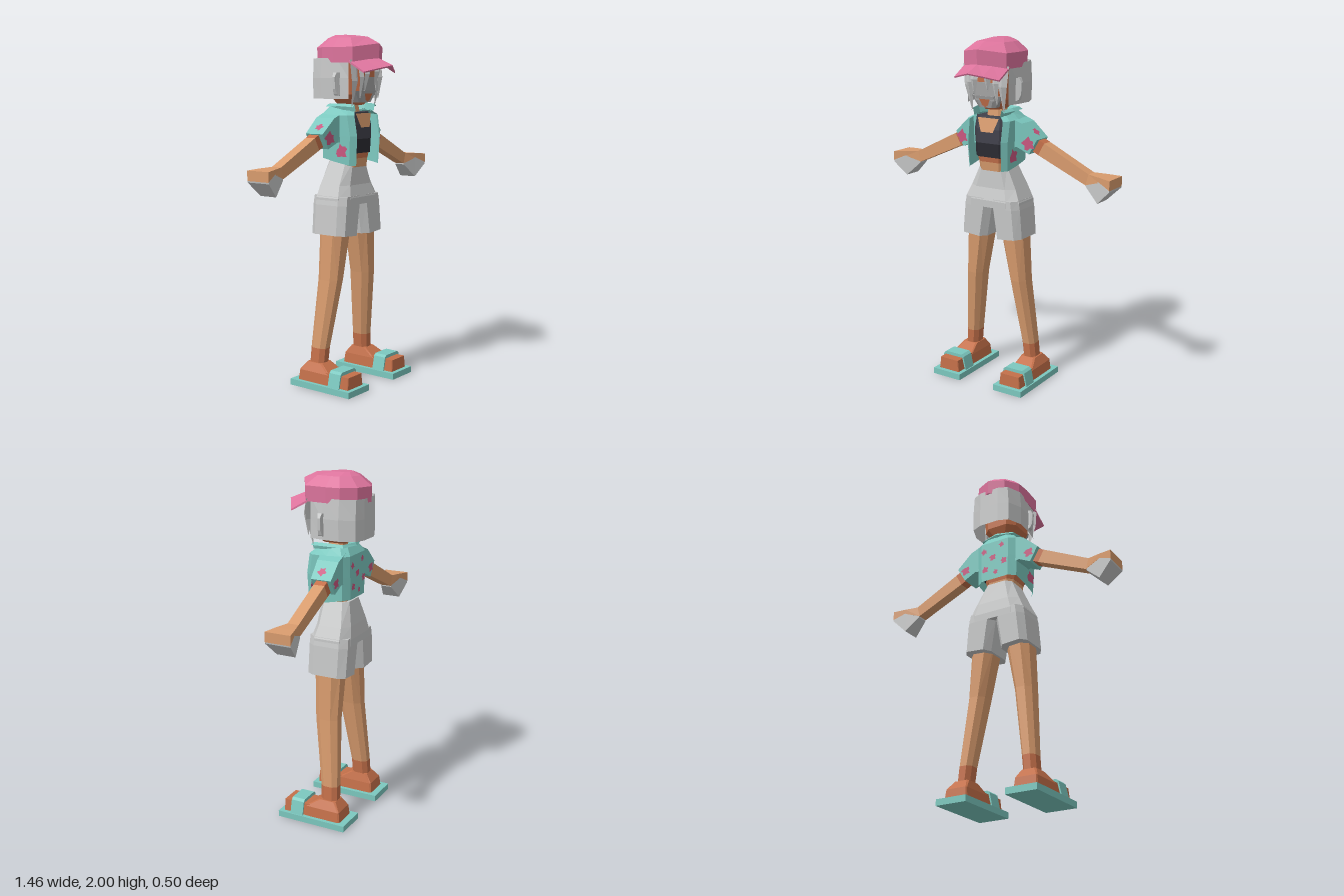
import * as THREE from 'three';

const paint = (name, color) => new THREE.MeshStandardMaterial({ name, color, side: THREE.DoubleSide });

// Flat-shaded skin over rings of points; closed rings are capped and turned outward
function loft(rings, closed = true) {
  const n = rings[0].length, tris = [];
  for (let r = 0; r < rings.length - 1; r++) {
    const a = rings[r], b = rings[r + 1];
    for (let i = 0; i < (closed ? n : n - 1); i++) {
      const j = (i + 1) % n;
      tris.push([a[i], a[j], b[j]], [a[i], b[j], b[i]]);
    }
  }
  if (closed) {
    const e = rings[rings.length - 1], f = rings[0];
    for (let i = 1; i < n - 1; i++) tris.push([f[0], f[i + 1], f[i]], [e[0], e[i], e[i + 1]]);
    const v = (p) => new THREE.Vector3(...p), o = v(f[0]);
    let vol = 0;
    for (const [a, b, c] of tris) vol += v(a).sub(o).dot(v(b).sub(o).cross(v(c).sub(o)));
    if (vol < 0) tris.forEach((t) => t.reverse());
  }
  const g = new THREE.BufferGeometry();
  g.setAttribute('position', new THREE.Float32BufferAttribute(tris.flat(2), 3));
  g.computeVertexNormals();
  return g;
}

// Chamfered rectangle ring at height y
function oct(y, cx, hx, cz, hz, k = 0.35) {
  const a = 1 - k;
  return [[1, a], [a, 1], [-a, 1], [-1, a], [-1, -a], [-a, -1], [a, -1], [1, -a]]
    .map(([x, z]) => [cx + x * hx, y, cz + z * hz]);
}

// Four-point ring across a limb, from a top and a bottom point in the front plane
const slab = (t, b, z0, z1) => [[...t, z0], [...t, z1], [...b, z1], [...b, z0]];

// Extends a half outline to the other side, skipping the centre point
const mirrorHalf = (half) => [...half, ...half.slice(0, -1).reverse().map(([x, y, z]) => [-x, y, z])];

export function createModel() {
  const root = new THREE.Group();
  root.name = 'figure';
  const pink = paint('cap pink', 0xdd749d), teal = paint('teal cloth', 0x7cc8bf);
  const skin = paint('skin', 0xd89b6d), rust = paint('shaded skin', 0xc4704a);
  const grey = paint('light grey', 0xc6c7c7), faceGrey = paint('face grey', 0xa3a3a3);
  const dark = paint('top charcoal', 0x41414b), black = paint('top black', 0x2b2b32);
  const flower = paint('flower pink', 0xc9577f);
  const add = (name, geo, mat) => {
    const m = new THREE.Mesh(geo, mat);
    m.name = name;
    root.add(m);
    return m;
  };

  // Torso, layered from waist to neck
  const body = (y, hx, hz) => oct(y, 0, hx, -0.05, hz);
  add('waist', loft([body(1.26, 0.085, 0.08), body(1.31, 0.09, 0.085)]), skin);
  add('midriff', loft([body(1.31, 0.092, 0.085), body(1.345, 0.1, 0.09)]), rust);
  add('topHem', loft([body(1.34, 0.106, 0.096), body(1.42, 0.108, 0.1)]), black);
  add('top', loft([body(1.42, 0.11, 0.102), body(1.5, 0.112, 0.1), body(1.57, 0.105, 0.085)]), dark);
  const chest = new THREE.Shape([[-0.07, 1.565], [-0.04, 1.485], [0.04, 1.485], [0.07, 1.565]].map((p) => new THREE.Vector2(...p)));
  const bare = add('neckline', new THREE.ShapeGeometry(chest), skin);
  bare.rotation.x = -0.2;
  bare.position.set(0, 0.03, 0.36);
  add('neck', loft([oct(1.55, 0, 0.055, -0.05, 0.05), oct(1.64, 0, 0.038, -0.05, 0.04)]), skin);

  // Shorts
  add('shortsHips', loft([oct(1.29, 0, 0.088, -0.065, 0.085), oct(1.16, 0, 0.148, -0.075, 0.105),
    oct(1.09, 0, 0.18, -0.07, 0.12), oct(1.05, 0, 0.182, -0.07, 0.12)]), grey);

  // Head
  add('head', loft([oct(1.61, 0, 0.045, -0.04, 0.07), oct(1.67, 0, 0.105, -0.035, 0.11, 0.4),
    oct(1.87, 0, 0.12, -0.035, 0.115, 0.4)]), rust);
  const plate = add('face', new THREE.BoxGeometry(0.13, 0.1, 0.006), faceGrey);
  plate.position.set(0, 1.715, 0.08);
  const jaw = add('lowerFace', loft([oct(1.625, 0, 0.055, 0.035, 0.035), oct(1.69, 0, 0.1, 0.035, 0.05, 0.4)]), faceGrey);
  jaw.position.z = 0.002;
  const lips = add('mouth', new THREE.ShapeGeometry(new THREE.Shape([[-0.035, 0.022], [-0.02, -0.012], [0, -0.024], [0.02, -0.012], [0.035, 0.022]]
    .map((p) => new THREE.Vector2(...p)))), rust);
  lips.position.set(0, 1.652, 0.083);
  lips.rotation.x = 0.2;

  // Hair: curved back panel and hanging locks
  const hairRing = (y, k) => mirrorHalf([[0.135, y, 0.05], [0.15 * k, y, -0.03], [0.155 * k, y, -0.13],
    [0.12 * k, y, -0.215], [0.06, y, -0.238], [0, y, -0.238]]);
  add('backHair', loft([hairRing(1.87, 0.96), hairRing(1.76, 1.02), hairRing(1.645, 1)], false), grey);
  const lock = (x0, x1, top, z, tipX, tipY, tipZ) => {
    const ring = (a, b, y, c, d) => [[a, y, c], [(a + b) / 2, y, c + d], [b, y, c], [(a + b) / 2, y, c - d]];
    const mx = (x0 + x1) / 2 * 0.5 + tipX * 0.5, w = (x1 - x0) * 0.42, my = top * 0.55 + tipY * 0.45;
    add('hairLock', loft([ring(x0, x1, top, z, 0.014), ring(mx - w, mx + w, my, (z + tipZ) / 2 + 0.015, 0.014),
      ring(tipX - 0.003, tipX + 0.003, tipY, tipZ, 0.003)]), grey);
  };
  lock(-0.07, -0.015, 1.86, 0.1, -0.055, 1.69, 0.1);
  lock(0.015, 0.075, 1.86, 0.1, 0.035, 1.72, 0.105);

  // Cap: faceted crown and pointed visor
  const crown = (y, front, k, cz) => {
    const half = [[0, 0.16], [0.14, 0.08], [0.15, -0.05], [0.145, -0.13], [0.09, -0.21], [0, -0.25]];
    const all = [...half, ...half.slice(1, -1).reverse().map(([x, z]) => [-x, z])];
    return all.map(([x, z], i) => [x * k, i === 0 ? front : y, cz + (z - cz) * k]);
  };
  add('capCrown', loft([crown(1.845, 1.86, 0.99, -0.05), crown(1.93, 1.95, 1, -0.05),
    crown(1.982, 1.988, 0.64, -0.06), crown(2, 2, 0.28, -0.1)]), pink);
  const visor = (x, yi, zi, yo, zo) => [[x, yi, zi], [x, yo, zo], [x, yo - 0.008, zo - 0.004], [x, yi - 0.012, zi]];
  add('capVisor', loft([visor(-0.147, 1.855, 0.06, 1.795, 0.165), visor(-0.07, 1.865, 0.11, 1.814, 0.208),
    visor(0, 1.872, 0.15, 1.83, 0.25), visor(0.07, 1.865, 0.11, 1.814, 0.208), visor(0.147, 1.855, 0.06, 1.795, 0.165)]), pink);

  // Open jacket and collar
  const coat = (y, yf, k, zf) => mirrorHalf([[0.108 * k, yf, zf], [0.135 * k, yf, zf - 0.03],
    [0.138 * k, (y + yf) / 2, -0.05], [0.133 * k, y, -0.14], [0.09 * k, y, -0.17], [0, y, -0.17]]).reverse();
  const shoulder = coat(1.6, 1.58, 0.72, 0.045).map(([x, y, z]) => [x, y, z < -0.1 ? z + 0.03 : z]);
  add('jacket', loft([coat(1.31, 1.275, 0.96, 0.078), coat(1.44, 1.44, 1, 0.088), coat(1.555, 1.555, 1.02, 0.07), shoulder], false), teal);
  const collar = (y, k, zb) => mirrorHalf([[0.085 * k, y, 0.06], [0.1 * k, y + 0.005, -0.02], [0.085 * k, y, zb + 0.03], [0, y, zb]]);
  add('collar', loft([collar(1.575, 1, -0.13), collar(1.615, 1.12, -0.155), collar(1.6, 1.3, -0.165)], false), teal);

  // Flower patches laid on the cloth
  const patch = (r, p, n, turn) => {
    const pts = [];
    for (let i = 0; i < 12; i++) {
      const a = i * Math.PI / 6 + turn, q = r * (0.78 + 0.24 * Math.sin(i * 2.4 + turn * 5));
      pts.push(new THREE.Vector2(Math.cos(a) * q, Math.sin(a) * q));
    }
    const m = add('flower', new THREE.ShapeGeometry(new THREE.Shape(pts)), flower);
    const dir = new THREE.Vector3(...n).normalize();
    m.quaternion.setFromUnitVectors(new THREE.Vector3(0, 0, 1), dir);
    m.position.set(...p).addScaledVector(dir, 0.004);
  };
  [[0.07, 1.5, 0.022], [-0.05, 1.52, 0.02], [0.01, 1.45, 0.026], [-0.065, 1.41, 0.025], [0.06, 1.38, 0.024],
    [-0.01, 1.35, 0.018]].forEach(([x, y, r], i) => patch(r, [x, y, -0.171], [0, 0, -1], i));

  for (const s of [1, -1]) {
    const side = s > 0 ? 'left' : 'right';
    const put = (name, rings, mat) => add(side + name, loft(rings.map((r) => r.map(([x, y, z]) => [x * s, y, z]))), mat);

    // Side locks and ear lock
    const span = (a, b) => (s > 0 ? [a, b] : [-b, -a]);
    lock(...span(0.085, 0.15), 1.86, 0.07, s * 0.105, 1.605, 0.05);
    lock(...span(0.06, 0.11), 1.86, 0.09, s * 0.085, 1.65, 0.09);
    put('EarLock', [slab([0.14, 1.79], [0.14, 1.66], -0.04, 0.0), slab([0.165, 1.79], [0.162, 1.67], -0.035, -0.01),
      slab([0.178, 1.765], [0.174, 1.7], -0.03, -0.015)], grey);

    // Sleeve and its flowers
    put('Sleeve', [slab([0.1, 1.572], [0.11, 1.4], -0.145, -0.005), slab([0.18, 1.54], [0.15, 1.405], -0.145, -0.015),
      slab([0.272, 1.455], [0.222, 1.37], -0.145, -0.025)], teal);
    patch(0.045, [s * 0.222, 1.43, -0.018], [s * 0.1, 0, 1], 1);
    patch(0.035, [s * 0.215, 1.43, -0.145], [0, 0, -1], 2);
    patch(0.03, [s * 0.236, 1.489, -0.075], [s * 0.68, 0.73, 0], 3);
    patch(0.045, [s * 0.137, 1.355, 0.005], [s, 0, 0], 4);

    // Arm and half-gloved hand
    put('UpperArm', [slab([0.24, 1.464], [0.215, 1.388], -0.122, -0.057), slab([0.3, 1.434], [0.262, 1.365], -0.122, -0.057)], rust);
    put('Arm', [slab([0.3, 1.434], [0.262, 1.365], -0.122, -0.057), slab([0.58, 1.295], [0.562, 1.232], -0.122, -0.057)], skin);
    put('Hand', [slab([0.58, 1.295], [0.562, 1.232], -0.122, -0.057), slab([0.655, 1.291], [0.655, 1.262], -0.142, -0.032),
      slab([0.73, 1.285], [0.73, 1.23], -0.16, -0.01)], skin);
    put('Glove', [slab([0.565, 1.235], [0.565, 1.225], -0.122, -0.057), slab([0.655, 1.265], [0.65, 1.145], -0.142, -0.032),
      slab([0.73, 1.232], [0.728, 1.222], -0.16, -0.01)], grey);

    // Shorts leg, leg and ankle
    const cuff = oct(0.875, 0.117, 0.084, -0.068, 0.118).map(([x, y, z]) => [x, y + (x - 0.117) * 0.08, z]);
    put('ShortsLeg', [oct(1.1, 0.088, 0.088, -0.07, 0.118), oct(1.05, 0.094, 0.092, -0.07, 0.12), cuff], grey);
    put('Leg', [oct(0.92, 0.112, 0.074, -0.064, 0.08, 0.5), oct(0.62, 0.15, 0.053, -0.07, 0.068, 0.5),
      oct(0.225, 0.197, 0.041, -0.108, 0.051, 0.5)], skin);
    put('Ankle', [oct(0.225, 0.197, 0.041, -0.108, 0.051, 0.5), oct(0.13, 0.206, 0.04, -0.112, 0.05, 0.5)], rust);

    // Sandal and foot
    const cx = 0.2135;
    put('Sole', [oct(0, cx, 0.0945, -0.032, 0.213, 0), oct(0.036, cx, 0.0945, -0.032, 0.213, 0)], teal);
    put('Heel', [oct(0.036, cx, 0.072, -0.09, 0.115, 0.08), oct(0.095, cx, 0.066, -0.09, 0.108, 0.08),
      oct(0.143, 0.207, 0.046, -0.11, 0.052, 0.2)], rust);
    put('Toes', [oct(0.036, cx, 0.07, 0.07, 0.085, 0.05), oct(0.105, cx, 0.062, 0.07, 0.083, 0.05)], rust);
    const arch = new THREE.Shape([[-0.088, 0.036], [-0.07, 0.115], [-0.055, 0.127], [0.055, 0.127], [0.07, 0.115], [0.088, 0.036],
      [0.08, 0.036], [0.062, 0.108], [-0.062, 0.108], [-0.08, 0.036]].map((p) => new THREE.Vector2(...p)));
    const strap = add(side + 'Strap', new THREE.ExtrudeGeometry(arch, { depth: 0.08, bevelEnabled: false }), teal);
    strap.position.set(s * cx, 0, 0.025);
  }
  return root;
}
